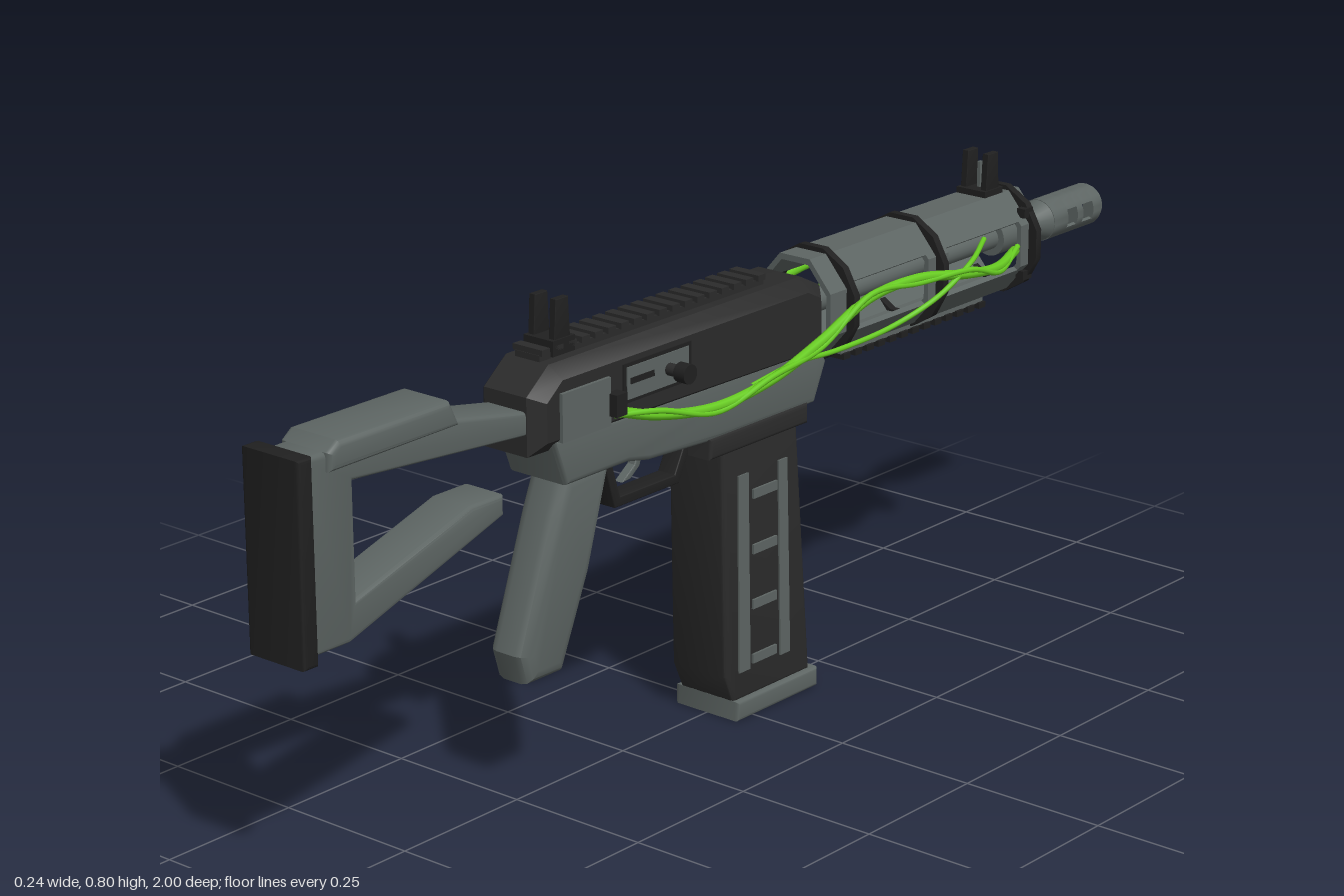
import * as THREE from 'three';
import { toCreasedNormals } from 'three/addons/utils/BufferGeometryUtils.js';

const mat = (name, color) => {
  const m = new THREE.MeshStandardMaterial({ color });
  m.name = name;
  return m;
};

export function createModel() {
  const gray = mat('gunmetal gray', 0x5d6563);
  const dark = mat('charcoal', 0x2b2b2b);
  const black = mat('black', 0x202020);
  const green = mat('cable green', 0x68cc22);
  const model = new THREE.Group();
  const AXIS = 0.64; // height of the barrel axis

  const add = (name, geo, material, x = 0, y = 0, z = 0) => {
    const m = new THREE.Mesh(geo, material);
    m.name = name;
    m.position.set(x, y, z);
    model.add(m);
  };
  const box = (name, material, w, h, d, x, y, z) =>
    add(name, new THREE.BoxGeometry(w, h, d), material, x, y, z);

  // Side profile of [z, y] points, extruded across x; rounded edges, or one chamfer
  const slab = (name, material, pts, width, bevel = 0.006, x = 0, segments = 3) => {
    const shape = new THREE.Shape(pts.map(p => new THREE.Vector2(...p)));
    const geo = new THREE.ExtrudeGeometry(shape, {
      depth: width - 2 * bevel, bevelEnabled: bevel > 0, bevelThickness: bevel,
      bevelSize: bevel, bevelOffset: -bevel, bevelSegments: segments,
    });
    geo.translate(0, 0, -(width - 2 * bevel) / 2);
    geo.rotateY(-Math.PI / 2);
    add(name, toCreasedNormals(geo, 0.6), material, x);
  };
  const bar = (z0, z1, y0, y1) => [[z0, y0], [z1, y0], [z1, y1], [z0, y1]];

  // Round part along z, from zBack (r0) to zFront (r1)
  const rod = (name, material, r0, r1, zBack, zFront) => {
    const geo = new THREE.CylinderGeometry(r1, r0, zBack - zFront, 24);
    geo.rotateX(-Math.PI / 2);
    add(name, geo, material, 0, AXIS, (zBack + zFront) / 2);
  };

  // Polygonal tube segment along z; a gap angle cuts a window into each side
  const shell = (name, material, sides, rOut, rIn, zBack, zFront, gap = 0, sx = 1) => {
    const step = 2 * Math.PI / sides;
    const P = (r, a) => {
      const k = Math.round(a / step) * step;
      const d = r * Math.cos(step / 2) / Math.cos(a - k);
      return new THREE.Vector2(d * sx * Math.cos(a), d * Math.sin(a));
    };
    const corners = Array.from({ length: sides }, (_, k) => (k + 0.5) * step);
    let shapes;
    if (gap) {
      const arc = [gap, ...corners.filter(a => a > gap && a < Math.PI - gap), Math.PI - gap];
      shapes = [0, Math.PI].map(turn => new THREE.Shape([
        ...arc.map(a => P(rOut, a + turn)), ...arc.toReversed().map(a => P(rIn, a + turn))]));
    } else {
      shapes = new THREE.Shape(corners.map(a => P(rOut, a)));
      shapes.holes.push(new THREE.Path(corners.map(a => P(rIn, a))));
    }
    const geo = new THREE.ExtrudeGeometry(shapes, { depth: zBack - zFront, bevelEnabled: false });
    add(name, toCreasedNormals(geo, 0.6), material, 0, AXIS, zFront);
  };

  // Stock: frame with an open triangle, cheek rest and butt pad
  slab('buttPad', black, bar(0.97, 1, 0.384, 0.703), 0.116, 0.006);
  slab('stockFrame', gray, [
    [0.975, 0.695], [0.93, 0.695], [0.66, 0.675], [0.5, 0.645], [0.5, 0.608], [0.875, 0.638],
    [0.875, 0.455], [0.63, 0.53], [0.56, 0.53], [0.56, 0.497], [0.89, 0.392], [0.975, 0.392],
  ], 0.084, 0.007);
  slab('cheekRest', gray, [[0.66, 0.668], [0.68, 0.71], [0.91, 0.71], [0.93, 0.695], [0.93, 0.665]], 0.104, 0.01);

  // Receiver
  slab('upperReceiver', dark, [
    [0.51, 0.575], [0.51, 0.67], [0.46, 0.71], [-0.14, 0.71], [-0.19, 0.685], [-0.19, 0.555], [-0.15, 0.565],
  ], 0.13, 0.022, 0, 1);
  slab('lowerReceiver', gray, [
    [0.47, 0.595], [0.44, 0.515], [0.3, 0.515], [0.25, 0.505], [0.08, 0.495],
    [-0.16, 0.495], [-0.19, 0.56], [-0.17, 0.595],
  ], 0.124, 0.01);
  slab('magazineWell', dark, bar(-0.138, 0.108, 0.467, 0.502), 0.13, 0.006);
  for (const s of [-1, 1]) {
    box('sidePanel', gray, 0.014, 0.078, 0.11, s * 0.064, 0.63, 0.405);
    box('cableSocket', black, 0.026, 0.036, 0.024, s * 0.073, 0.625, 0.342);
    box('portFrame', black, 0.006, 0.064, 0.16, s * 0.064, 0.647, 0.237);
    box('ejectionPort', gray, 0.009, 0.052, 0.145, s * 0.0645, 0.647, 0.237);
    box('portSlot', black, 0.003, 0.01, 0.055, s * 0.0685, 0.65, 0.275);
  }

  // Charging handle on the left side only
  const pin = (r, length) => new THREE.CylinderGeometry(r, r, length, 16).rotateZ(Math.PI / 2);
  add('chargingHandle', pin(0.01, 0.04), dark, 0.08, 0.647, 0.212);
  add('chargingKnob', pin(0.016, 0.022), black, 0.101, 0.647, 0.212);

  // Grip, trigger and guard
  slab('grip', gray, [
    [0.31, 0.52], [0.42, 0.52], [0.445, 0.46], [0.52, 0.25], [0.505, 0.2], [0.425, 0.2], [0.36, 0.35],
  ], 0.08, 0.022);
  slab('triggerGuard', black, [
    [0.312, 0.52], [0.283, 0.426], [0.13, 0.426], [0.092, 0.5],
    [0.11, 0.5], [0.14, 0.442], [0.271, 0.442], [0.295, 0.52],
  ], 0.036, 0.002);
  slab('trigger', gray, [
    [0.215, 0.51], [0.225, 0.48], [0.255, 0.458], [0.235, 0.459], [0.213, 0.475], [0.2, 0.51],
  ], 0.016, 0.002);

  // Magazine with ribbed side ladders and base plate
  slab('magazine', dark, [[0.07, 0.48], [-0.118, 0.48], [-0.155, 0.03], [0.04, 0.03], [0.062, 0.08]], 0.114, 0.007);
  slab('magazineBase', gray, bar(-0.165, 0.042, 0, 0.034), 0.134, 0.006);
  for (const s of [-1, 1]) {
    slab('magazineRail', gray, [[0.033, 0.42], [0.008, 0.42], [0.002, 0.08], [0.03, 0.08]], 0.006, 0, s * 0.057);
    slab('magazineRail', gray, [[-0.068, 0.42], [-0.09, 0.42], [-0.1, 0.08], [-0.075, 0.08]], 0.006, 0, s * 0.057);
    for (let i = 0; i < 4; i++)
      box('magazineRung', gray, 0.008, 0.016, 0.06, s * 0.057, 0.095 + i * 0.095, -0.034);
  }

  // Vented handguard: closed bands, open windows and dark clamps
  const spans = [[-0.18, -0.235, 0], [-0.235, -0.44, 0.49], [-0.44, -0.495, 0], [-0.495, -0.7, 0.49], [-0.7, -0.75, 0]];
  for (const [a, b, gap] of spans) shell('handguard', gray, 8, 0.094, 0.083, a, b, gap, 0.86);
  for (const z of [-0.222, -0.461, -0.722]) shell('clampRing', black, 12, 0.098, 0.076, z, z - 0.014, 0, 0.96);
  for (const s of [-1, 1])
    for (const y of [-0.055, 0.055])
      box('clampLug', black, 0.016, 0.016, 0.024, s * 0.066, AXIS + y, -0.722);

  // Accessory rails with teeth
  box('topRail', dark, 0.05, 0.014, 0.53, 0, 0.713, 0.195);
  for (let i = 0; i < 18; i++) box('topRailTooth', dark, 0.06, 0.01, 0.018, 0, 0.724, 0.45 - i * 0.03);
  box('bottomRail', gray, 0.045, 0.016, 0.39, 0, 0.549, -0.47);
  for (let i = 0; i < 13; i++) box('bottomRailTooth', black, 0.055, 0.01, 0.018, 0, 0.537, -0.285 - i * 0.031);

  // Iron sights
  for (const z of [0.41, -0.68]) {
    box('sightBase', black, 0.06, 0.025, 0.05, 0, 0.725, z);
    for (const s of [-1, 1])
      slab('sightProng', black, [
        [z + 0.018, 0.73], [z + 0.014, 0.8], [z - 0.014, 0.8], [z - 0.018, 0.73],
      ], 0.012, 0.001, s * 0.021);
  }
  box('frontSightPost', gray, 0.006, 0.05, 0.008, 0, 0.757, -0.68);

  // Barrel, collar and ported muzzle brake
  rod('barrel', gray, 0.02, 0.02, -0.17, -0.83);
  rod('barrelCollar', gray, 0.032, 0.032, -0.71, -0.765);
  rod('brakeTaper', gray, 0.023, 0.036, -0.82, -0.852);
  const ports = [[-0.852, -0.893, 0], [-0.893, -0.921, 0.45], [-0.921, -0.938, 0], [-0.938, -0.968, 0.45], [-0.968, -0.992, 0]];
  for (const [a, b, gap] of ports) shell('muzzleBrake', gray, 24, 0.037, gap ? 0.031 : 0.015, a, b, gap);
  shell('muzzleLip', gray, 24, 0.033, 0.015, -0.99, -1);

  // Cables on both sides: [x, y, z] paths, a twisted pair and a loose thin strand
  const main = [[0.07, 0.615, 0.35], [0.092, 0.592, 0.27], [0.108, 0.577, 0.15], [0.112, 0.588, 0.02],
    [0.1, 0.615, -0.12], [0.092, 0.655, -0.26], [0.098, 0.662, -0.38], [0.112, 0.645, -0.5],
    [0.1, 0.632, -0.6], [0.07, 0.635, -0.69]];
  const twisted = main.map(([x, y, z], i) => [x + 0.005, y + (i % 2 ? 0.008 : -0.007), z]);
  const loose = [[0.1, 0.585, 0.05], [0.1, 0.596, -0.06], [0.09, 0.586, -0.18], [0.095, 0.594, -0.32],
    [0.112, 0.625, -0.42], [0.11, 0.662, -0.51], [0.07, 0.675, -0.6]];
  for (const s of [-1, 1])
    for (const [r, pts] of [[0.0085, main], [0.005, twisted], [0.0045, loose]]) {
      const path = new THREE.CatmullRomCurve3(pts.map(([x, y, z]) => new THREE.Vector3(s * x, y, z)));
      add('cable', new THREE.TubeGeometry(path, 70, r, 8), green);
    }

  return model;
}
